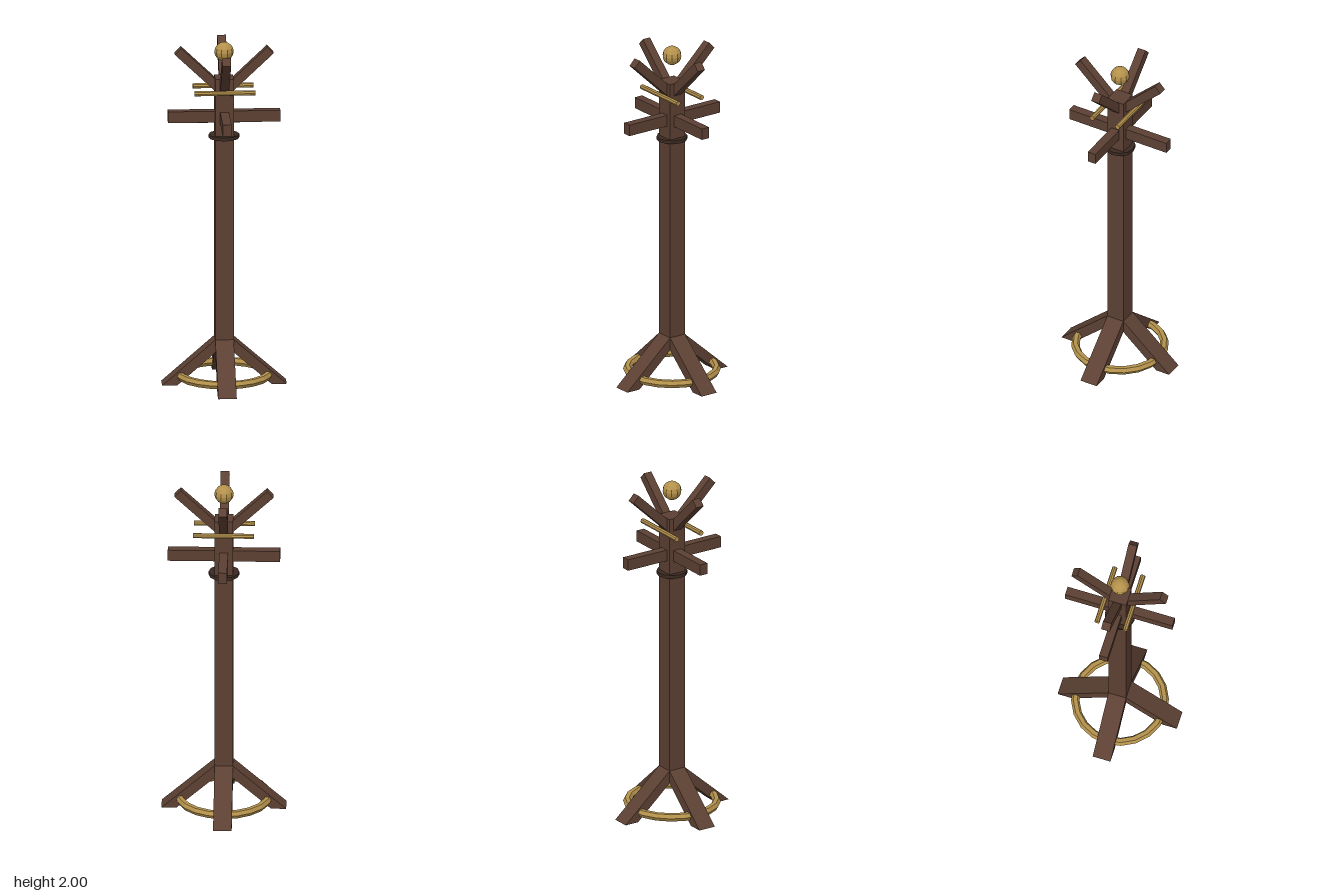
import * as THREE from 'three';

const wood = new THREE.MeshStandardMaterial({ color: 0x5c4033, flatShading: true });
const darkWood = new THREE.MeshStandardMaterial({ color: 0x3b2a21, flatShading: true });
const brass = new THREE.MeshStandardMaterial({ color: 0xb5924c, flatShading: true });

function add(parent, name, geometry, material, x = 0, y = 0, z = 0) {
  const mesh = new THREE.Mesh(geometry, material);
  mesh.name = name;
  mesh.position.set(x, y, z);
  parent.add(mesh);
  return mesh;
}

export function createModel() {
  const root = new THREE.Group();
  root.name = 'coatStand';

  // Square post with a thin collar
  add(root, 'post', new THREE.BoxGeometry(0.105, 1.59, 0.105), wood, 0, 1.0, 0);
  add(root, 'collar', new THREE.CylinderGeometry(0.087, 0.087, 0.02, 12), darkWood, 0, 1.45, 0);

  // Leg profile: sloping beam cut flat at the floor
  const profile = new THREE.Shape([
    new THREE.Vector2(0, 0.31), new THREE.Vector2(0, 0.235),
    new THREE.Vector2(0.268, 0), new THREE.Vector2(0.353, 0),
  ]);
  const legGeo = new THREE.ExtrudeGeometry(profile, { depth: 0.105, bevelEnabled: false });
  legGeo.translate(0, 0, -0.0525);

  // Upper hook: starts inside the post and rises outward
  const hookGeo = new THREE.BoxGeometry(0.33, 0.052, 0.05);
  hookGeo.translate(-0.165, 0, 0);

  const armGeo = new THREE.BoxGeometry(0.318, 0.066, 0.05);
  const rodGeo = new THREE.CylinderGeometry(0.016, 0.016, 0.2, 8);
  rodGeo.rotateZ(Math.PI / 2);

  // Four identical sides
  for (let i = 0; i < 4; i++) {
    const side = new THREE.Group();
    side.name = 'side' + (i + 1);
    side.rotation.y = i * Math.PI / 2;
    add(side, 'leg', legGeo, wood);
    add(side, 'arm', armGeo, wood, 0.159, 1.568, 0);
    add(side, 'armRod', rodGeo, brass, 0.1, 1.543, 0);
    add(side, 'hook', hookGeo, wood, 0.262, 1.955, 0).rotation.z = 0.76;
    root.add(side);
  }

  // Foot ring
  const ringGeo = new THREE.TorusGeometry(0.253, 0.024, 6, 20);
  ringGeo.rotateX(Math.PI / 2);
  add(root, 'footRing', ringGeo, brass, 0, 0.053, 0);

  // Pair of rails beside the post
  const railGeo = new THREE.CylinderGeometry(0.015, 0.015, 0.345, 8);
  railGeo.rotateZ(Math.PI / 2);
  for (const s of [-1, 1]) add(root, 'rail', railGeo, brass, 0, 1.722, s * 0.083);

  // Ball finial
  add(root, 'finial', new THREE.SphereGeometry(0.055, 10, 8), brass, 0, 1.945, 0);

  return root;
}
